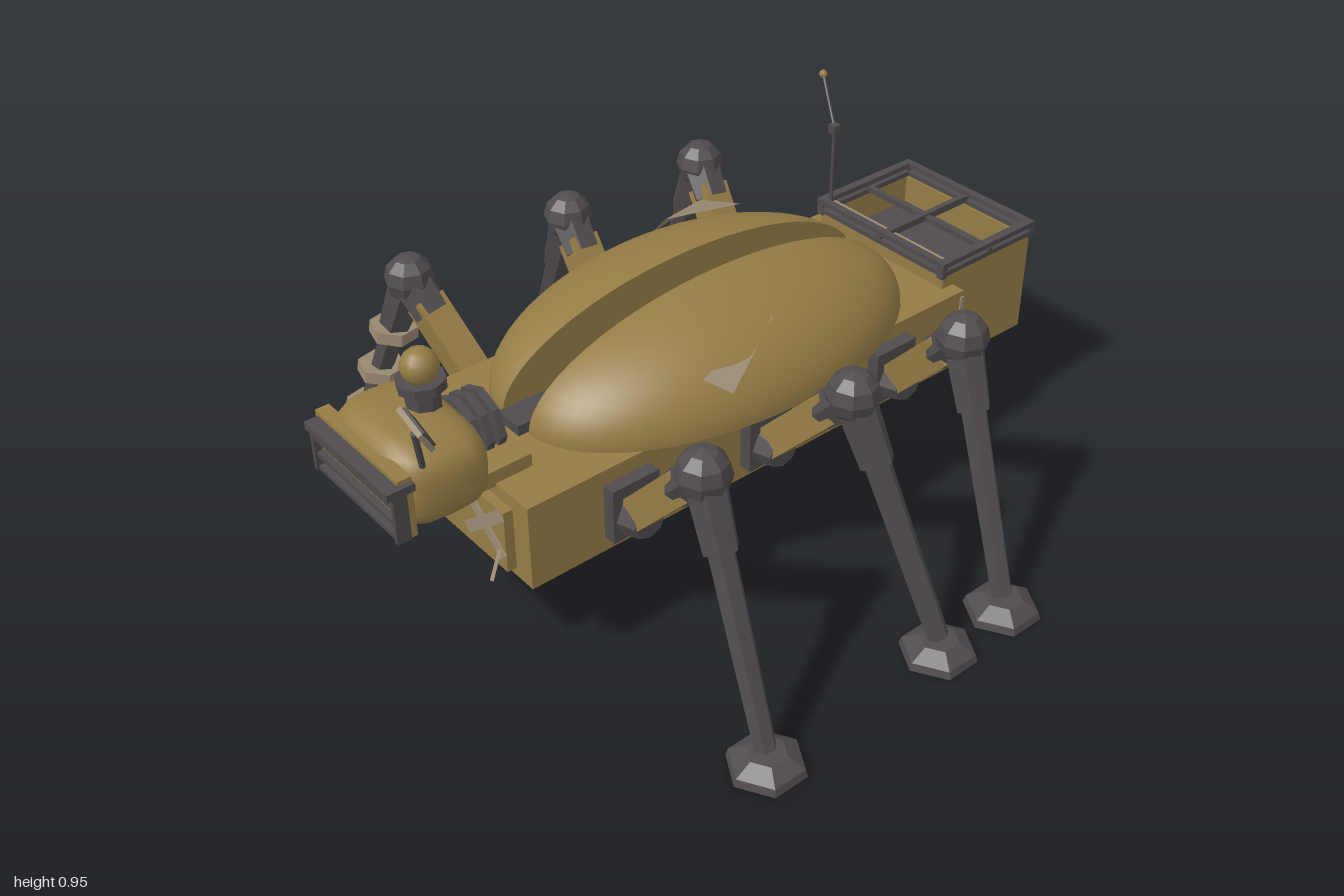
import * as THREE from 'three';

export function createModel() {
  const root = new THREE.Group();
  root.name = 'walker';
  const mat = (name, color) => Object.assign(new THREE.MeshStandardMaterial({ color }), { name });
  const gold = mat('ochre paint', 0x957c45);
  const grey = mat('dark metal', 0x504b4d);
  const tan = mat('worn tan', 0x9a8a73);
  gold.side = grey.side = tan.side = THREE.DoubleSide;

  const add = (name, geo, m, x = 0, y = 0, z = 0, parent = root) => {
    const mesh = new THREE.Mesh(geo, m);
    mesh.name = name;
    mesh.position.set(x, y, z);
    parent.add(mesh);
    return mesh;
  };
  // box given by its min and max corners
  const box = (name, m, a, b, parent = root) => add(name,
    new THREE.BoxGeometry(b[0] - a[0], b[1] - a[1], b[2] - a[2]), m,
    (a[0] + b[0]) / 2, (a[1] + b[1]) / 2, (a[2] + b[2]) / 2, parent);
  const flat = (geo) => { const g = geo.toNonIndexed(); g.computeVertexNormals(); return g; };
  // prism running from point a to point b
  const strut = (name, m, a, b, r0, r1, sides, parent = root) => {
    const g = new THREE.CylinderGeometry(r1, r0, a.distanceTo(b), sides);
    if (sides === 4) g.rotateY(Math.PI / 4);
    const mesh = add(name, flat(g), m, 0, 0, 0, parent);
    mesh.position.copy(a).lerp(b, 0.5);
    mesh.quaternion.setFromUnitVectors(new THREE.Vector3(0, 1, 0), b.clone().sub(a).normalize());
    return mesh;
  };
  const V = (x, y, z) => new THREE.Vector3(x, y, z);

  // hull
  box('hull', gold, [-0.27, 0.315, -0.69], [0.27, 0.547, 0.71]);
  box('nosePlate', gold, [-0.21, 0.34, 0.7], [0.21, 0.51, 0.735]);
  box('bellyPlate', grey, [-0.2, 0.292, -0.57], [0.2, 0.32, 0.58]);
  box('spine', grey, [-0.04, 0.53, -0.55], [0.04, 0.575, 0.57]);

  // split shell: two half domes with a gap along the spine
  for (const s of [1, -1]) {
    const dome = new THREE.SphereGeometry(1, 28, 14, s > 0 ? Math.PI / 2 : -Math.PI / 2, Math.PI, 0, Math.PI / 2);
    const cut = new THREE.CircleGeometry(1, 28, 0, Math.PI).rotateY(-s * Math.PI / 2);
    const under = new THREE.CircleGeometry(1, 28, s > 0 ? -Math.PI / 2 : Math.PI / 2, Math.PI).rotateX(Math.PI / 2);
    for (const [name, g, m] of [['shellDome', dome, gold], ['shellInnerWall', cut, gold], ['shellUnderside', under, grey]]) {
      add(name, g, m, s * 0.052, 0.551, -0.02).scale.set(0.318, 0.227, 0.57);
    }
  }

  // rear cargo crate with open top
  box('crateBase', gold, [-0.23, 0.295, -0.99], [0.23, 0.5, -0.65]);
  box('crateFloor', grey, [-0.22, 0.5, -0.98], [0.22, 0.508, -0.66]);
  for (const s of [1, -1]) {
    box('crateSide', gold, [s * 0.222 - 0.008, 0.5, -0.99], [s * 0.222 + 0.008, 0.588, -0.65]);
    box('crateEnd', gold, [-0.23, 0.5, -0.82 + s * 0.162 - 0.008], [0.23, 0.588, -0.82 + s * 0.162 + 0.008]);
    // rack rails in two tiers
    for (const y of [0.588, 0.613]) {
      box('rackSideRail', grey, [s * 0.225 - 0.012, y, -1], [s * 0.225 + 0.012, y + 0.014, -0.64]);
      box('rackEndRail', grey, [-0.237, y, -0.82 + s * 0.17 - 0.01], [0.237, y + 0.014, -0.82 + s * 0.17 + 0.01]);
    }
    for (const z of [-0.99, -0.65]) box('rackPost', grey, [s * 0.225 - 0.01, 0.58, z - 0.01], [s * 0.225 + 0.01, 0.615, z + 0.01]);
    box('sideStrap', tan, [s * 0.27 - 0.004, 0.34, -0.69], [s * 0.27 + 0.004, 0.53, -0.678]);
  }
  box('rackLongBar', grey, [-0.008, 0.595, -1], [0.008, 0.615, -0.64]);
  box('rackCrossBar', grey, [-0.237, 0.595, -0.83], [0.237, 0.61, -0.815]);
  box('rackStrap', tan, [-0.23, 0.597, -0.7], [0.2, 0.603, -0.69]);

  // antenna
  strut('antennaMast', grey, V(-0.215, 0.54, -0.67), V(-0.215, 0.83, -0.67), 0.006, 0.005, 6);
  box('antennaJoint', grey, [-0.227, 0.825, -0.682], [-0.203, 0.85, -0.658]);
  strut('antennaWhip', grey, V(-0.215, 0.84, -0.67), V(-0.332, 0.937, -0.735), 0.004, 0.004, 6);
  add('antennaTip', new THREE.SphereGeometry(0.012, 8, 6), gold, -0.332, 0.937, -0.735);

  // neck
  box('neckBase', gold, [-0.155, 0.54, 0.61], [0.15, 0.582, 0.74]);
  strut('neckCore', grey, V(0, 0.605, 0.62), V(0, 0.605, 0.76), 0.065, 0.065, 8);
  for (const z of [0.64, 0.672, 0.704]) strut('neckRing', grey, V(0, 0.605, z - 0.01), V(0, 0.605, z + 0.01), 0.088, 0.088, 8);

  // head: a sphere squared off by a power rule, narrower low and in front
  const head = new THREE.SphereGeometry(1, 20, 14);
  const p = head.attributes.position;
  const pw = (v, e) => Math.sign(v) * Math.pow(Math.abs(v), e);
  for (let i = 0; i < p.count; i++) {
    const x = pw(p.getX(i), 0.62), y = pw(p.getY(i), 0.68), z = pw(p.getZ(i), 0.6);
    p.setXYZ(i, x * 0.185 * (1 - 0.06 * z), y * 0.112 * (1 + 0.06 * z), z * 0.128);
  }
  head.computeVertexNormals();
  add('head', head, gold, 0, 0.612, 0.832);

  // face grille
  const face = new THREE.Group();
  face.name = 'faceGrille';
  root.add(face);
  box('facePlate', gold, [-0.165, 0.535, 0.93], [0.175, 0.695, 0.965], face);
  box('browBar', grey, [-0.155, 0.664, 0.93], [0.188, 0.684, 1], face);
  for (const y of [0.632, 0.588, 0.55]) box('grilleBar', grey, [-0.15, y - 0.006, 0.95], [0.18, y + 0.006, 0.982], face);
  for (const x of [-0.162, 0.178]) box('grillePost', grey, [x - 0.006, 0.54, 0.95], [x + 0.006, 0.67, 0.985], face);

  // beacon
  strut('beaconStem', grey, V(0, 0.71, 0.785), V(0, 0.768, 0.785), 0.042, 0.042, 8);
  strut('beaconCollar', grey, V(0, 0.765, 0.785), V(0, 0.79, 0.785), 0.058, 0.058, 8);
  add('beaconLamp', new THREE.SphereGeometry(0.045, 12, 10), gold, 0, 0.82, 0.785);

  // side mirror
  strut('mirrorArm', grey, V(0.155, 0.69, 0.89), V(0.19, 0.81, 0.92), 0.008, 0.008, 6);
  const mirror = add('mirrorPlate', new THREE.BoxGeometry(0.1, 0.06, 0.012), tan, 0.2, 0.826, 0.92);
  mirror.rotation.set(0.5, -0.15, -0.04);
  box('mirrorBack', grey, [-0.045, -0.026, -0.012], [0.045, 0.026, -0.005], mirror);

  // legs: side, hip z, knee z, foot x, foot y, foot z
  const legs = [
    [1, 0.435, 0.435, 0.79, 0, 0.46], [1, 0.02, -0.01, 0.79, 0, -0.1], [1, -0.41, -0.375, 0.79, 0, -0.33],
    [-1, 0.435, 0.485, 0.765, 0.05, 0.565], [-1, 0.02, -0.01, 0.79, 0, -0.03], [-1, -0.41, -0.47, 0.79, 0, -0.49],
  ];
  for (const [s, hz, kz, fx, fy, fz] of legs) {
    const leg = new THREE.Group();
    leg.name = 'leg';
    root.add(leg);
    const hip = V(s * 0.305, 0.415, hz), knee = V(s * 0.54, 0.672, kz), ankle = V(s * (fx - 0.005), fy + 0.05, fz);
    const along = (a, b, t) => a.clone().lerp(b, t);
    add('hipPlate', new THREE.BoxGeometry(0.04, 0.15, 0.135), grey, s * 0.285, 0.432, hz, leg);
    strut('hipJoint', grey, V(s * 0.295, 0.415, hz), V(s * 0.352, 0.415, hz), 0.062, 0.045, 8, leg);
    strut('upperLeg', gold, hip, along(hip, knee, 0.8), 0.056, 0.056, 4, leg);
    strut('kneeCollar', grey, along(hip, knee, 0.7), knee, 0.05, 0.056, 6, leg);
    add('knee', flat(new THREE.SphereGeometry(0.066, 8, 6)), grey, knee.x, knee.y, knee.z, leg);
    strut('shinCollar', grey, knee, along(knee, ankle, 0.27), 0.052, 0.044, 6, leg);
    strut('shin', grey, along(knee, ankle, 0.2), ankle, 0.034, 0.028, 6, leg);
    add('footPad', flat(new THREE.CylinderGeometry(0.092, 0.098, 0.02, 6)), grey, s * fx, fy + 0.01, fz, leg);
    add('footTop', flat(new THREE.CylinderGeometry(0.05, 0.092, 0.026, 6)), grey, s * fx, fy + 0.033, fz, leg);
    // wrappings on the damaged leg
    if (fy > 0) for (const t of [0.31, 0.56, 0.81]) {
      const c = along(knee, ankle, t);
      const ring = add('legWrap', flat(new THREE.CylinderGeometry(0.064, 0.064, 0.034, 6)), tan, c.x, c.y, c.z, leg);
      ring.rotation.set(-0.08, 0.3, -0.08);
    }
  }

  // torn plates and patches
  const plate = (name, m, pts) => {
    const g = new THREE.BufferGeometry();
    g.setAttribute('position', new THREE.Float32BufferAttribute(pts.flat(), 3));
    g.setIndex([0, 1, 2, 0, 2, 3]);
    g.computeVertexNormals();
    add(name, g, m);
  };
  plate('leftTornPlate', tan, [[0.23, 0.735, -0.03], [0.25, 0.73, -0.025], [0.345, 0.655, 0.18], [0.285, 0.68, 0.22]]);
  plate('rightTornPlate', tan, [[-0.385, 0.665, -0.34], [-0.245, 0.705, -0.36], [-0.315, 0.7, -0.16], [-0.37, 0.63, -0.14]]);
  plate('noseFlap', tan, [[0.2, 0.41, 0.75], [0.215, 0.415, 0.75], [0.235, 0.36, 0.79], [0.22, 0.355, 0.79]]);
  for (const s of [1, -1]) {
    add('nosePatchCross', new THREE.BoxGeometry(0.19, 0.03, 0.006), tan, 0.13, 0.44, 0.737).rotation.z = s * 0.7;
  }
  box('noseScuff', tan, [-0.03, 0.32, 0.708], [0.19, 0.336, 0.714]);
  return root;
}
